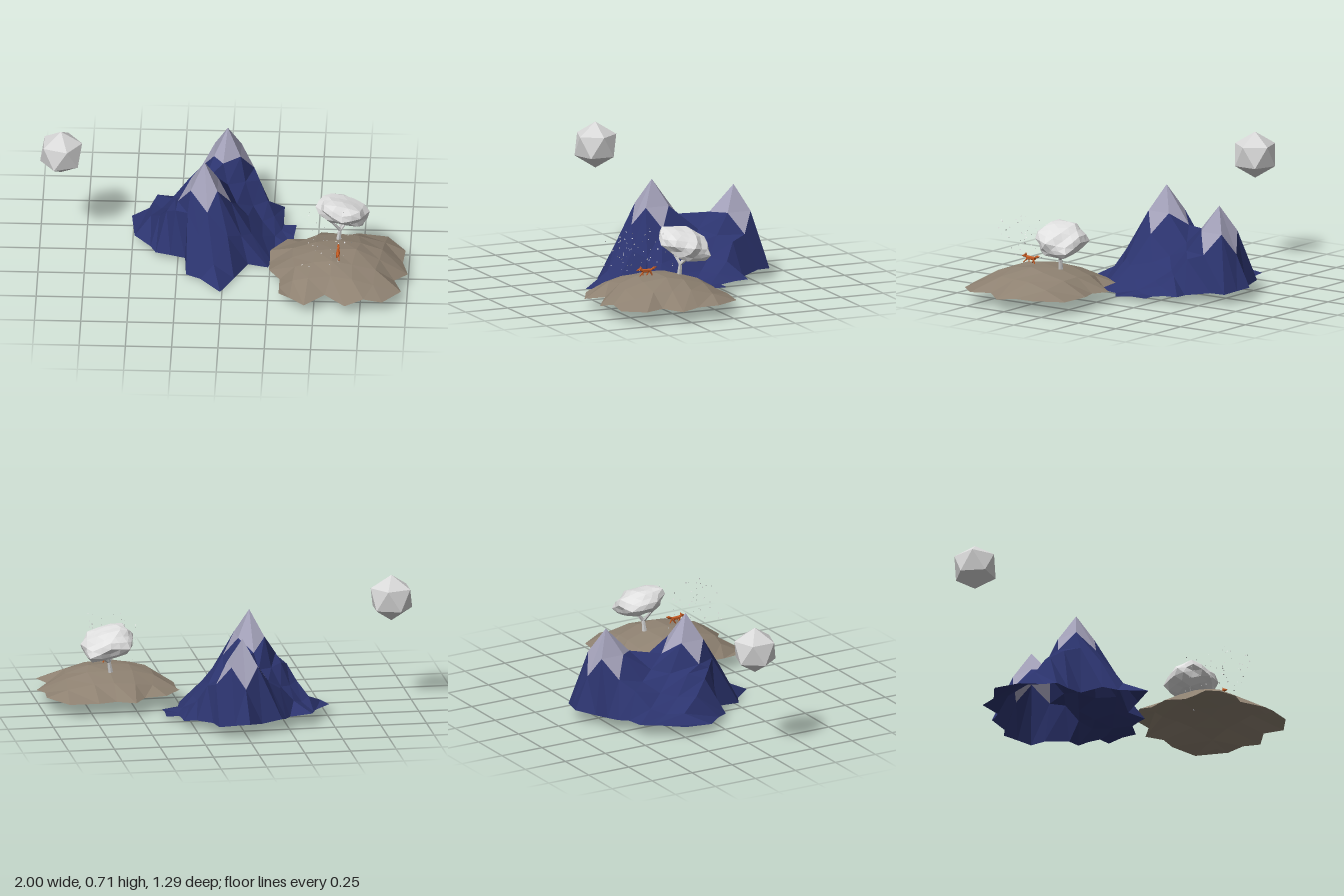
import * as THREE from 'three';

const mat = (name, color, extra = {}) => Object.assign(new THREE.MeshStandardMaterial({ color, flatShading: true, ...extra }), { name });
const DS = { side: THREE.DoubleSide };
const M = {
  rock: mat('rockBlue', 0x2c346f, DS),
  snow: mat('snow', 0xa3a1b9, DS),
  earth: mat('earth', 0x8e8171, DS),
  stone: mat('moonGrey', 0xd8d8d8),
  leaf: mat('foliageGrey', 0xe0e0e0),
  bark: mat('barkGrey', 0xcacaca),
  fur: mat('foxOrange', 0xc25a22),
  petal: mat('petal', 0xe0e0e0, DS),
};

let seed = 7;
const rand = () => ((seed = (seed * 16807) % 2147483647) / 2147483647);
const jit = (a) => (rand() - 0.5) * 2 * a;
const V = (x, y, z) => new THREE.Vector3(x, y, z);
const lerp = THREE.MathUtils.lerp;

function mesh(name, geo, material, parent, pos) {
  const m = new THREE.Mesh(geo, material);
  m.name = name;
  if (pos) m.position.set(...pos);
  parent.add(m);
  return m;
}

// Value at x of a profile given as [x, y] steps
function profile(steps, x) {
  const k = steps.findIndex((s) => s[0] >= x);
  if (k < 0) return steps[steps.length - 1][1];
  if (k === 0) return steps[0][1];
  const [a, b] = [steps[k - 1], steps[k]];
  return lerp(a[1], b[1], (x - a[0]) / (b[0] - a[0]));
}

// Lattice of n by n cells inside a rim that runs clockwise from above, from
// corner (0, 0). Points given by fixed(i, j) stay put; the rest relax evenly.
function lattice(rim, n, fixed) {
  const onRim = (i, j) => {
    const k = j === 0 ? i : i === n ? n + j : j === n ? 3 * n - i : i === 0 ? 4 * n - j : -1;
    return k < 0 ? null : V(rim[k][0], 0, rim[k][1]);
  };
  const rows = Array.from({ length: n + 1 }, (_, i) => Array.from({ length: n + 1 }, (_, j) => {
    const held = fixed(i, j) || onRim(i, j);
    return { held, p: held || V(rim[0][0], 0, rim[0][1]).lerp(V(rim[2 * n][0], 0, rim[2 * n][1]), (i + j) / (2 * n)) };
  }));
  for (let pass = 0; pass < 80; pass++)
    for (let i = 1; i < n; i++) for (let j = 1; j < n; j++) {
      if (rows[i][j].held) continue;
      const sum = V(0, 0, 0);
      [[1, 0], [-1, 0], [0, 1], [0, -1]].forEach(([a, b]) => sum.add(rows[i + a][j + b].p));
      rows[i][j].p = sum.multiplyScalar(0.25).setY(0);
    }
  return rows.map((r) => r.map((c) => c.p));
}

// Surface through the lattice, keeping the cells chosen by test
function latticeSurface(pts, n, test) {
  const out = [];
  for (let i = 0; i < n; i++) for (let j = 0; j < n; j++) {
    if (!test(i, j)) continue;
    const a = pts[i][j], b = pts[i + 1][j], c = pts[i + 1][j + 1], d = pts[i][j + 1];
    out.push(a, c, b, a, d, c);
  }
  const g = new THREE.BufferGeometry().setFromPoints(out);
  g.computeVertexNormals();
  return g;
}

// Twin peaks joined by a saddle, on a lattice turned 45 degrees
function mountains() {
  const g = new THREE.Group(), n = 8;
  g.name = 'mountains';
  const rim = [[-0.01, -0.65], [0.07, -0.625], [0.15, -0.6], [0.17, -0.52], [0.24, -0.4], [0.31, -0.4], [0.31, -0.32],
    [0.31, -0.24], [0.38, -0.24], [0.37, -0.13], [0.37, -0.03], [0.27, 0.04], [0.255, 0.1], [0.24, 0.16], [0.13, 0.14],
    [0.06, 0.28], [-0.01, 0.42], [-0.12, 0.3], [-0.2, 0.26], [-0.21, 0.11], [-0.29, 0.09], [-0.37, 0.08], [-0.4, 0.02],
    [-0.49, -0.08], [-0.51, -0.25], [-0.42, -0.34], [-0.4, -0.4], [-0.38, -0.46], [-0.26, -0.46], [-0.23, -0.51],
    [-0.2, -0.56], [-0.09, -0.57]];
  // ridge line from the back corner to the front toe
  const spine = [V(-0.01, 0.075, -0.65), V(0, 0.25, -0.57), V(0, 0.505, -0.455), V(-0.02, 0.36, -0.32),
    V(-0.11, 0.345, -0.17), V(-0.11, 0.55, -0.02), V(-0.09, 0.31, 0.11), V(-0.05, 0.08, 0.27), V(-0.01, 0, 0.42)];
  const peaks = [2, 5];
  const slope = [[0, 1], [0.09, 0.73], [0.14, 0.53], [0.2, 0.39], [0.26, 0.22], [0.33, 0.1], [0.42, 0]];
  const rimY = (p) => 0.024 - 0.035 * p.x - 0.065 * p.z;
  // each peak is a four-sided cap: near, high arms and far, low corners
  const fixed = (i, j) => {
    if (i === j) return spine[i].clone();
    const k = peaks.find((q) => Math.abs(i - q) <= 1 && Math.abs(j - q) <= 1);
    if (k === undefined) return null;
    const corner = Math.abs(i - j) === 2;
    return spine[k].clone().add(V((i - j) * 0.072, corner ? -0.25 : -0.14, (i + j - 2 * k) * 0.068));
  };
  const pts = lattice(rim, n, fixed);
  pts.forEach((row, i) => row.forEach((p, j) => {
    if (fixed(i, j)) return;
    const base = rimY(p);
    p.y = base + jit(0.008);
    if (i % n === 0 || j % n === 0) return;
    const heights = peaks.map((k) => (spine[k].y - base) * profile(slope, Math.hypot(p.x - spine[k].x, p.z - spine[k].z)));
    const ridge = new THREE.Line3(V(0, 0, -0.455), V(-0.11, 0, -0.02)).closestPointToPoint(p.clone().setY(0), true, V(0, 0, 0));
    heights.push(0.28 * (1 - Math.hypot(p.x - ridge.x, p.z - ridge.z) / 0.33));
    p.y += Math.max(0, ...heights);
  }));
  const snowy = (i, j) => peaks.some((k) => (i === k || i === k - 1) && (j === k || j === k - 1));
  mesh('mountainRock', latticeSurface(pts, n, (i, j) => !snowy(i, j)), M.rock, g);
  mesh('snowCaps', latticeSurface(pts, n, snowy), M.snow, g);
  return g;
}

// Low rounded hill
function hill(parent) {
  const n = 6;
  const rim = [[0.34, -0.01], [0.46, -0.02], [0.52, -0.1], [0.62, -0.06], [0.72, -0.09], [0.88, -0.07], [0.91, 0.06],
    [0.98, 0.08], [0.97, 0.2], [1, 0.3], [0.93, 0.39], [0.97, 0.5], [0.87, 0.61], [0.77, 0.61], [0.67, 0.645],
    [0.56, 0.565], [0.45, 0.635], [0.37, 0.59], [0.31, 0.54], [0.31, 0.465], [0.31, 0.39], [0.25, 0.3], [0.25, 0.2],
    [0.25, 0.11]];
  const pts = lattice(rim, n, () => null);
  pts.forEach((row, i) => row.forEach((p, j) => {
    const s = 2 * i / n - 1, t = 2 * j / n - 1;
    if (Math.max(Math.abs(s), Math.abs(t)) === 1) return p.setY(0.07 + jit(0.016));
    return p.add(V(jit(0.012), 0.065 + 0.137 * ((1 - s * s) * (1 - t * t)) ** 0.75 + jit(0.006), jit(0.012)));
  }));
  mesh('hill', latticeSurface(pts, n, () => true), M.earth, parent);
}

// Cylinder limb between two points
function limb(name, a, b, r0, r1, material, parent) {
  const A = V(...a), B = V(...b), d = B.clone().sub(A);
  const m = mesh(name, new THREE.CylinderGeometry(r1, r0, d.length(), 6), material, parent);
  m.position.copy(A).addScaledVector(d, 0.5);
  m.quaternion.setFromUnitVectors(V(0, 1, 0), d.normalize());
}

function tree() {
  const g = new THREE.Group();
  g.name = 'tree';
  limb('trunk', [0.62, 0.185, 0.15], [0.63, 0.25, 0.147], 0.014, 0.01, M.bark, g);
  [[0.575, 0.32, 0.18], [0.69, 0.31, 0.1], [0.63, 0.33, 0.09]].forEach((end) =>
    limb('branch', [0.63, 0.24, 0.148], end, 0.009, 0.006, M.bark, g));
  // lumpy canopy, leaning down toward its back left
  const geo = new THREE.IcosahedronGeometry(1, 2), p = geo.attributes.position;
  for (let i = 0; i < p.count; i++) {
    const x = p.getX(i), y = p.getY(i), z = p.getZ(i);
    const box = 1 / (x ** 4 + y ** 4 + z ** 4) ** 0.09;
    const r = box * (0.97 + 0.08 * Math.sin(5 * x + 2 * z) * Math.cos(4 * y + 1) + 0.06 * Math.sin(7 * z + 3 * y + 1));
    const notch = y < 0 ? 1 + 0.25 * y * Math.exp(-9 * x * x) : 1;
    p.setXYZ(i, x * r * 0.141, y * r * 0.078 * notch - 0.034 * x + 0.02 * z, z * r * 0.127);
  }
  geo.computeVertexNormals();
  mesh('canopy', geo, M.leaf, g, [0.642, 0.354, 0.132]);
  return g;
}

// Small running fox facing the front
function fox() {
  const g = new THREE.Group();
  g.name = 'fox';
  const x = 0.625;
  limb('foxBody', [x, 0.221, 0.32], [x, 0.222, 0.372], 0.009, 0.011, M.fur, g);
  limb('foxNeck', [x, 0.222, 0.367], [x, 0.231, 0.383], 0.009, 0.007, M.fur, g);
  limb('foxHead', [x, 0.232, 0.379], [x, 0.227, 0.407], 0.011, 0.002, M.fur, g);
  limb('foxTail', [x, 0.225, 0.323], [x, 0.233, 0.304], 0.004, 0.008, M.fur, g);
  limb('foxTailTip', [x, 0.233, 0.304], [x, 0.238, 0.287], 0.008, 0.001, M.fur, g);
  for (const s of [-1, 1]) {
    limb('foxEar', [x + s * 0.006, 0.236, 0.382], [x + s * 0.008, 0.248, 0.38], 0.004, 0.0005, M.fur, g);
    limb('foxFrontLeg', [x + s * 0.006, 0.218, 0.366], [x + s * 0.007, 0.195, 0.378 + s * 0.014], 0.004, 0.003, M.fur, g);
    limb('foxHindLeg', [x + s * 0.006, 0.218, 0.328], [x + s * 0.007, 0.194, 0.33 - s * 0.014], 0.005, 0.003, M.fur, g);
  }
  return g;
}

// Petals drifting forward from the tree
function petals() {
  const g = new THREE.Group();
  g.name = 'petals';
  for (let i = 0; i < 60; i++) {
    const t = rand();
    const m = mesh('petal', new THREE.CircleGeometry(0.003 + 0.002 * rand(), 4), M.petal, g,
      [0.6 - 0.05 * t + jit(0.13), 0.33 + jit(0.1), 0.22 + 0.32 * t]);
    m.rotation.set(jit(3), jit(3), jit(3));
  }
  return g;
}

export function createModel() {
  const root = new THREE.Group();
  root.name = 'landscape';
  root.add(mountains(), tree(), fox(), petals());
  hill(root);
  // floating moon, one corner pointing up
  const moon = mesh('moon', new THREE.IcosahedronGeometry(0.127, 0), M.stone, root, [-0.885, 0.585, -0.04]);
  moon.rotation.z = -Math.atan(2 / (1 + Math.sqrt(5)));
  return root;
}
